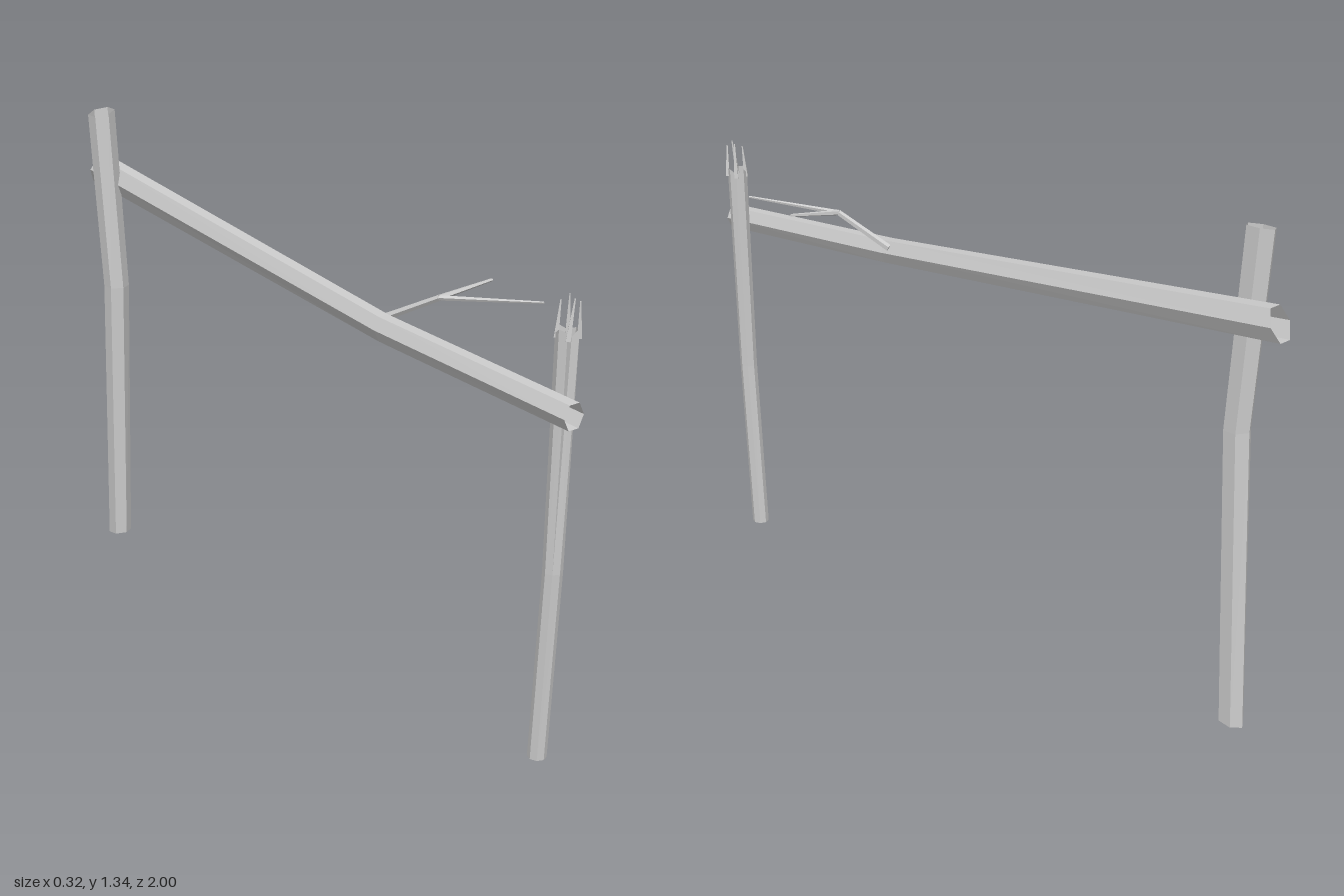
import * as THREE from 'three';

const wood = new THREE.MeshStandardMaterial({ color: 0xcccccc, flatShading: true, side: THREE.DoubleSide });

// Open log lofted through rings: c = centre, r = two radii, slant = end cut tilt [first, second radius],
// dents = radius factor by corner, jag = axial offset by corner.
function loft(name, axis, sides, rings, phase = 0) {
  const pos = [], index = [];
  rings.forEach(({ c, r, slant = [0, 0], dents = [], jag = [] }, i) => {
    for (let j = 0; j < sides; j++) {
      const a = phase + (j / sides) * Math.PI * 2;
      const k = dents[j] ?? 1;
      const u = Math.cos(a) * k, v = Math.sin(a) * k;
      const w = u * slant[0] + v * slant[1] + (jag[j] ?? 0);
      if (axis === 'y') pos.push(c[0] + u * r[0], c[1] + w, c[2] + v * r[1]);
      else pos.push(c[0] + u * r[0], c[1] + v * r[1], c[2] + w);
      if (i < rings.length - 1) {
        const p = i * sides + j, q = i * sides + (j + 1) % sides;
        index.push(p, p + sides, q, q, p + sides, q + sides);
      }
    }
  });
  const g = new THREE.BufferGeometry();
  g.setAttribute('position', new THREE.Float32BufferAttribute(pos, 3));
  g.setIndex(index);
  g.computeVertexNormals();
  const mesh = new THREE.Mesh(g, wood);
  mesh.name = name;
  return mesh;
}

// Tapered stick between two points
function stick(name, from, to, r0, r1, sides = 5) {
  const a = new THREE.Vector3(...from), b = new THREE.Vector3(...to);
  const dir = b.clone().sub(a);
  const mesh = new THREE.Mesh(new THREE.CylinderGeometry(r1, r0, dir.length(), sides), wood);
  mesh.position.copy(a).add(b).multiplyScalar(0.5);
  mesh.quaternion.setFromUnitVectors(new THREE.Vector3(0, 1, 0), dir.normalize());
  mesh.name = name;
  return mesh;
}

export function createModel() {
  const model = new THREE.Group();
  model.name = 'poleFence';

  // Tall back post with a slight bend
  model.add(loft('backPost', 'y', 6, [
    { c: [-0.11, 0.01, -0.882], r: [0.032, 0.037], slant: [0.002, 0.005] },
    { c: [-0.112, 0.82, -0.844], r: [0.036, 0.037] },
    { c: [-0.126, 1.337, -0.868], r: [0.038, 0.039], slant: [0.008, 0] },
  ], Math.PI / 6));

  // Short front post, split down its front from the broken top
  model.add(loft('frontPost', 'y', 8, [
    { c: [0.004, 0, 0.88], r: [0.024, 0.025] },
    { c: [0.004, 0.52, 0.905], r: [0.025, 0.025] },
    { c: [0.008, 1.13, 0.912], r: [0.027, 0.029],
      dents: [1, 1, 0.5], jag: [0, 0.005, -0.015, 0, 0.005, -0.01, 0.005, -0.008] },
  ]));

  // Splinters left standing on the broken top
  const splinters = new THREE.Group();
  splinters.name = 'splinters';
  const spikes = [
    [-0.008, 0.932, 0.004, 1.21], [0.028, 0.932, 0.022, 1.2],
    [-0.008, 0.893, -0.002, 1.2], [0.026, 0.895, 0.024, 1.21],
  ];
  for (const [x, z, tx, ty] of spikes) {
    splinters.add(stick('splinter', [x, 1.11, z], [tx, ty, z + 0.004], 0.008, 0.002, 4));
  }
  model.add(splinters);

  // Long rail resting across both posts
  model.add(loft('rail', 'z', 6, [
    { c: [-0.046, 0.956, 1], r: [0.031, 0.036] },
    { c: [-0.07, 0.998, 0.35], r: [0.031, 0.037] },
    { c: [-0.066, 1.141, -0.982], r: [0.037, 0.045], slant: [0, 0.02] },
  ]));

  // Forked twig growing from the rail
  const twig = new THREE.Group();
  twig.name = 'twig';
  const fork = [0.002, 1.095, 0.475];
  twig.add(
    stick('twigStem', [-0.048, 1.015, 0.325], fork, 0.01, 0.008),
    stick('twigSideTip', fork, [0.157, 1.117, 0.495], 0.008, 0.004),
    stick('twigFrontTip', fork, [0.13, 1.117, 0.708], 0.007, 0.003),
  );
  model.add(twig);

  return model;
}
